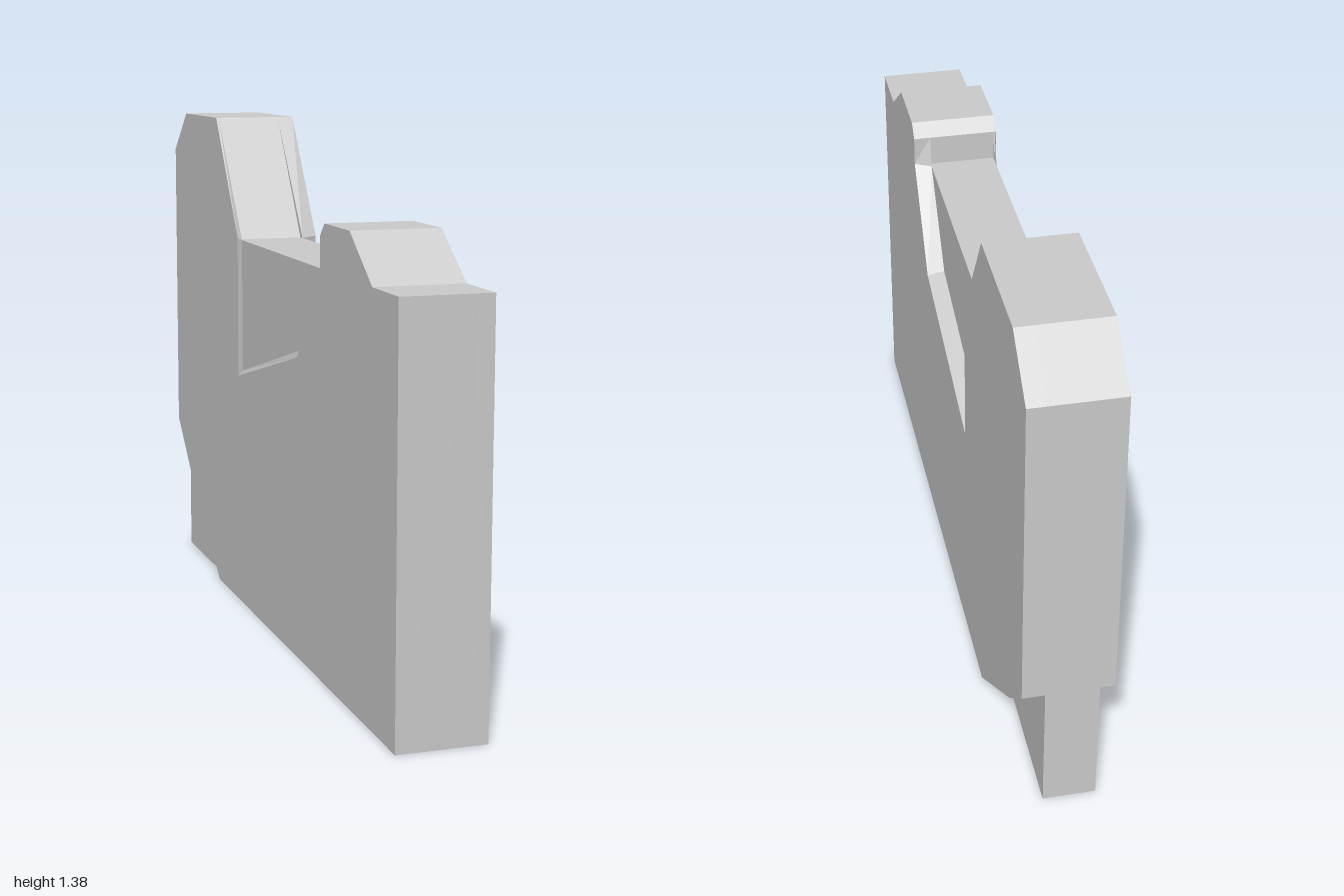
import * as THREE from 'three';

const material = new THREE.MeshStandardMaterial({ color: 0xcccccc, flatShading: true });
const HALF = 0.115;

// Profile points are [z, y]
const front = [[-0.51, 0], [1, 0], [1, 1.05], [0.83, 1.05], [0.67, 1.163], [0.485, 1.163], [0.45, 1.13]];
const back = [[-0.51, 1.378], [-0.86, 1.378], [-1, 1.263], [-1, 0.405], [-0.86, 0.27]];

// Recess outline at the outer face, and where it meets the recess floor
const recessRim = [[0.45, 1.052], [0.265, 0.8], [-0.29, 0.66], [-0.29, 1.052]];
const recessFloor = [[0.435, 1.048], [0.255, 0.815], [-0.27, 0.677], [-0.27, 1.048]];

// Extrudes a z-y profile between two x positions
function slab(points, x0, x1) {
  const shape = new THREE.Shape(points.map(([z, y]) => new THREE.Vector2(z, y)));
  const geometry = new THREE.ExtrudeGeometry(shape, { depth: x1 - x0, bevelEnabled: false });
  return geometry.rotateY(-Math.PI / 2).translate(x1, 0, 0);
}

// Side plate whose recess walls slope inward to the floor at innerX
function sidePlate(innerX, outerX) {
  const geometry = slab([...front, ...recessRim, ...back], Math.min(innerX, outerX), Math.max(innerX, outerX));
  const pos = geometry.attributes.position;
  for (let i = 0; i < pos.count; i++) {
    if (Math.abs(pos.getX(i) - innerX) > 1e-4) continue;
    const k = recessRim.findIndex(([z, y]) => Math.hypot(pos.getZ(i) - z, pos.getY(i) - y) < 1e-4);
    if (k >= 0) pos.setXYZ(i, innerX, recessFloor[k][1], recessFloor[k][0]);
  }
  geometry.computeVertexNormals();
  return geometry;
}

export function createModel() {
  const group = new THREE.Group();
  const add = (name, geometry) => {
    const mesh = new THREE.Mesh(geometry, material);
    mesh.name = name;
    group.add(mesh);
  };

  // Full-height core with a flat bridge between the two raised ends
  add('core', slab([...front, [0.45, 1.048], [-0.29, 1.048], ...back], -0.108, 0.07));

  // Outer plates: deep recess on the left side, shallow one on the right
  add('leftPlate', sidePlate(0.07, HALF));
  add('rightPlate', sidePlate(-0.108, -HALF));

  // Thinner tab filling the cut-away lower back corner
  add('lowerTab', slab([[-0.45, 0], [-0.45, 0.3], [-0.8, 0.4], [-0.96, 0.4], [-0.96, 0]], -0.088, 0.048));

  return group;
}
